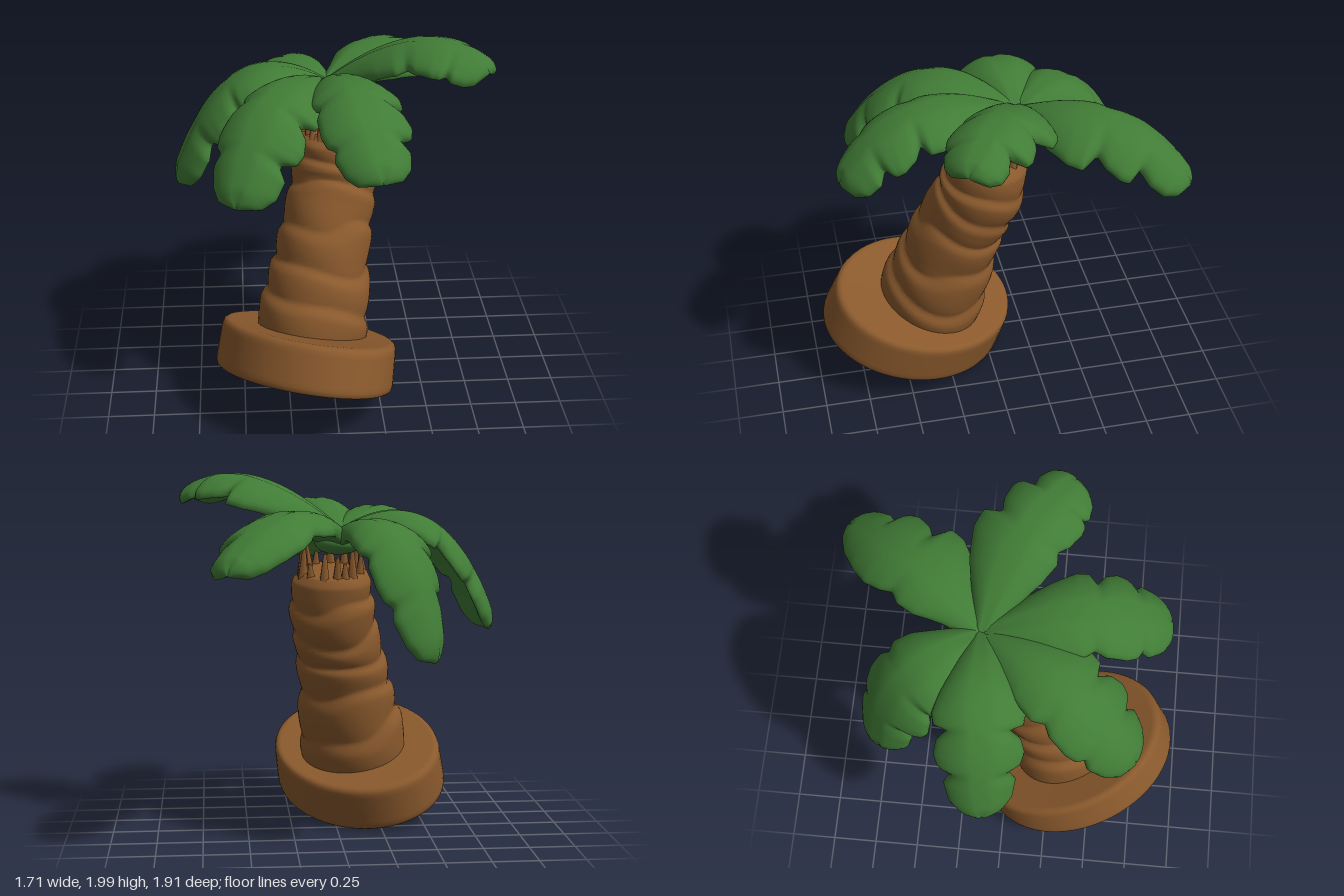
import * as THREE from 'three';

const V = (x, y, z) => new THREE.Vector3(x, y, z);
const UP = V(0, 1, 0);

// Skin a list of equal-sized rings; each ring runs anticlockwise about the travel direction.
function loft(rings) {
  const n = rings[0].length, index = [];
  for (let i = 0; i < rings.length - 1; i++) {
    for (let j = 0; j < n; j++) {
      const k = (j + 1) % n, a = i * n, b = a + n;
      index.push(a + j, a + k, b + k, a + j, b + k, b + j);
    }
  }
  const geo = new THREE.BufferGeometry().setFromPoints(rings.flat());
  geo.setIndex(index);
  geo.computeVertexNormals();
  return geo;
}

// Linear lookup in a list of [t, value] pairs.
function lookup(table, t) {
  for (let i = 1; i < table.length; i++) {
    const [t0, v0] = table[i - 1], [t1, v1] = table[i];
    if (t <= t1) return v0 + (v1 - v0) * (t - t0) / (t1 - t0);
  }
  return table[table.length - 1][1];
}

// Half-widths along a frond: a slender side, a blunt side, a deeply cut side and a frilled side.
const SLENDER = [[0, .05], [.15, .11], [.28, .18], [.38, .195], [.45, .17], [.52, .2], [.62, .215],
  [.75, .19], [.87, .145], [.95, .09], [1, .01]];
const BLUNT = [[0, .05], [.15, .13], [.28, .2], [.4, .23], [.47, .2], [.53, .235], [.65, .245],
  [.72, .23], [.76, .19], [.81, .21], [.9, .175], [.96, .12], [1, .01]];
const CUT = [[0, .05], [.12, .12], [.25, .22], [.38, .285], [.47, .285], [.52, .18], [.58, .22],
  [.67, .235], [.72, .22], [.75, .13], [.82, .16], [.9, .15], [.96, .1], [1, .01]];
const FRILL = [[0, .05], [.15, .14], [.3, .21], [.43, .255], [.5, .245], [.54, .17], [.59, .23],
  [.67, .25], [.73, .23], [.77, .15], [.82, .2], [.9, .18], [.96, .12], [1, .01]];

function frondGeometry({ ctrl, tip, left, right, width = 1 }) {
  const spine = new THREE.QuadraticBezierCurve3(V(-.01, 1.67, -.15), V(...ctrl), V(...tip));
  const rings = [], steps = 72, around = 32;
  for (let i = 0; i <= steps; i++) {
    const t = i / steps, p = spine.getPoint(t), T = spine.getTangent(t);
    const S = V().crossVectors(UP, T).normalize();
    const N = V().crossVectors(T, S);
    const root = Math.max(0, 1 - t / .35);
    const ring = [];
    for (let j = 0; j < around; j++) {
      const a = j / around * Math.PI * 2, s = Math.cos(a), h = Math.sin(a);
      const w = width * lookup(s > 0 ? left : right, t);
      // a little thicker below near the root, rounded off at the tip
      const thick = (.044 + (h < 0 ? .02 * root : 0)) * Math.min(1, Math.sqrt((1 - t) / .07));
      const rise = Math.sign(h) * Math.pow(Math.abs(h), .6) * thick
        - .09 * s * s * (w / .25) - (h > 0 ? .008 * Math.exp(-s * s * 60) : 0);
      ring.push(p.clone().addScaledVector(S, s * w).addScaledVector(N, rise)
        .addScaledVector(T, .09 * Math.abs(s) * (w / .25) * t));
    }
    rings.push(ring);
  }
  return loft(rings);
}

// Leaning trunk centre line.
const TRUNK = new THREE.CatmullRomCurve3([V(-.14, .36, .345), V(-.08, .7, .245), V(-.03, 1, .155),
  V(.02, 1.25, .05), V(.025, 1.48, .005)]);

function frameAt(t) {
  const T = TRUNK.getTangent(t);
  const v = V().crossVectors(T, V(1, 0, 0)).normalize();
  return { p: TRUNK.getPoint(t), T, u: V().crossVectors(v, T), v };
}

function trunkGeometry() {
  const girth = [[0, .3], [.15, .29], [.35, .255], [.6, .232], [.78, .23], [.86, .22], [.94, .21], [1, .18]];
  const rings = [], steps = 90, around = 48;
  for (let i = 0; i <= steps + 1; i++) {
    const t = Math.min(1, i / steps), { p, u, v } = frameAt(t), ring = [];
    for (let j = 0; j < around; j++) {
      const a = j / around * Math.PI * 2;
      // uneven growth bands, swelling slowly and tucking in sharply
      const band = (t * 6 + .18 * Math.sin(a + t * 9) + .08 * Math.sin(3 * a + t * 14) + 1) % 1;
      const swell = band < .7 ? Math.sin(band / .7 * Math.PI / 2) : Math.cos((band - .7) / .3 * Math.PI / 2);
      const r = i > steps ? 0 : lookup(girth, t) * (.96 + .09 * swell);
      ring.push(p.clone().addScaledVector(u, r * Math.cos(a)).addScaledVector(v, r * Math.sin(a)));
    }
    rings.push(ring);
  }
  return loft(rings);
}

export function createModel() {
  const model = new THREE.Group();
  const brown = new THREE.MeshStandardMaterial({ color: 0x8b5a2d });
  brown.name = 'bark brown';
  const green = new THREE.MeshStandardMaterial({ color: 0x417c36 });
  green.name = 'leaf green';
  const add = (name, geo, mat) => {
    const mesh = new THREE.Mesh(geo, mat);
    mesh.name = name;
    model.add(mesh);
    return mesh;
  };

  // Tilted oval base with softened rims, its long axis turned towards the front left
  const profile = [[0, 0], [.93, 0], [.97, .004], [.993, .015], [1, .035], [1, .06], [.985, .21],
    [.98, .235], [.965, .253], [.935, .262], [.9, .264], [0, .25]].map(([x, y]) => new THREE.Vector2(x, y));
  const oval = new THREE.LatheGeometry(profile, 64).scale(.46, 1, .575).rotateY(.42);
  const base = add('base', oval, brown);
  base.position.set(-.18, .2, .435);
  base.quaternion.setFromUnitVectors(UP, V(.15, .93, -.335).normalize());

  add('trunk', trunkGeometry(), brown);

  // Ragged bark fibres between trunk and crown
  const top = frameAt(1), fibres = 16;
  for (let i = 0; i < fibres; i++) {
    const a = i / fibres * Math.PI * 2 + .12 * Math.sin(i * 5);
    const len = .16 + .04 * Math.sin(i * 2.3);
    const out = top.u.clone().multiplyScalar(Math.cos(a)).addScaledVector(top.v, Math.sin(a));
    const fibre = add('barkFibre', new THREE.CylinderGeometry(.01, .034, len, 6), brown);
    fibre.position.copy(top.p).addScaledVector(out, .165).addScaledVector(top.T, len / 2 - .05);
    fibre.quaternion.setFromUnitVectors(UP, top.T.clone().addScaledVector(out, .1 * Math.sin(i * 3.7)).normalize());
  }

  // Crown heart where the fronds meet
  const heart = add('crownHeart', new THREE.SphereGeometry(.13, 32, 20), green);
  heart.scale.y = .5;
  heart.position.set(0, 1.64, -.12);

  // Six drooping fronds
  const fronds = [
    { name: 'backLeftFrond', ctrl: [.34, 1.96, -.54], tip: [.61, 1.54, -.93], left: SLENDER, right: CUT, width: 1.06 },
    { name: 'leftFrond', ctrl: [.5, 2.13, -.01], tip: [.81, 1.88, .27], left: CUT, right: BLUNT, width: .95 },
    { name: 'frontLeftFrond', ctrl: [.12, 2.05, .45], tip: [.21, 1.51, .83], left: FRILL, right: BLUNT, width: .97 },
    { name: 'frontRightFrond', ctrl: [-.35, 2.02, .38], tip: [-.52, 1.34, .7], left: FRILL, right: BLUNT },
    { name: 'rightFrond', ctrl: [-.55, 2.03, -.13], tip: [-.84, 1.16, -.08], left: FRILL, right: FRILL, width: .94 },
    { name: 'backRightFrond', ctrl: [-.35, 1.96, -.62], tip: [-.46, 1.06, -.67], left: CUT, right: BLUNT },
  ];
  for (const f of fronds) add(f.name, frondGeometry(f), green);

  return model;
}
